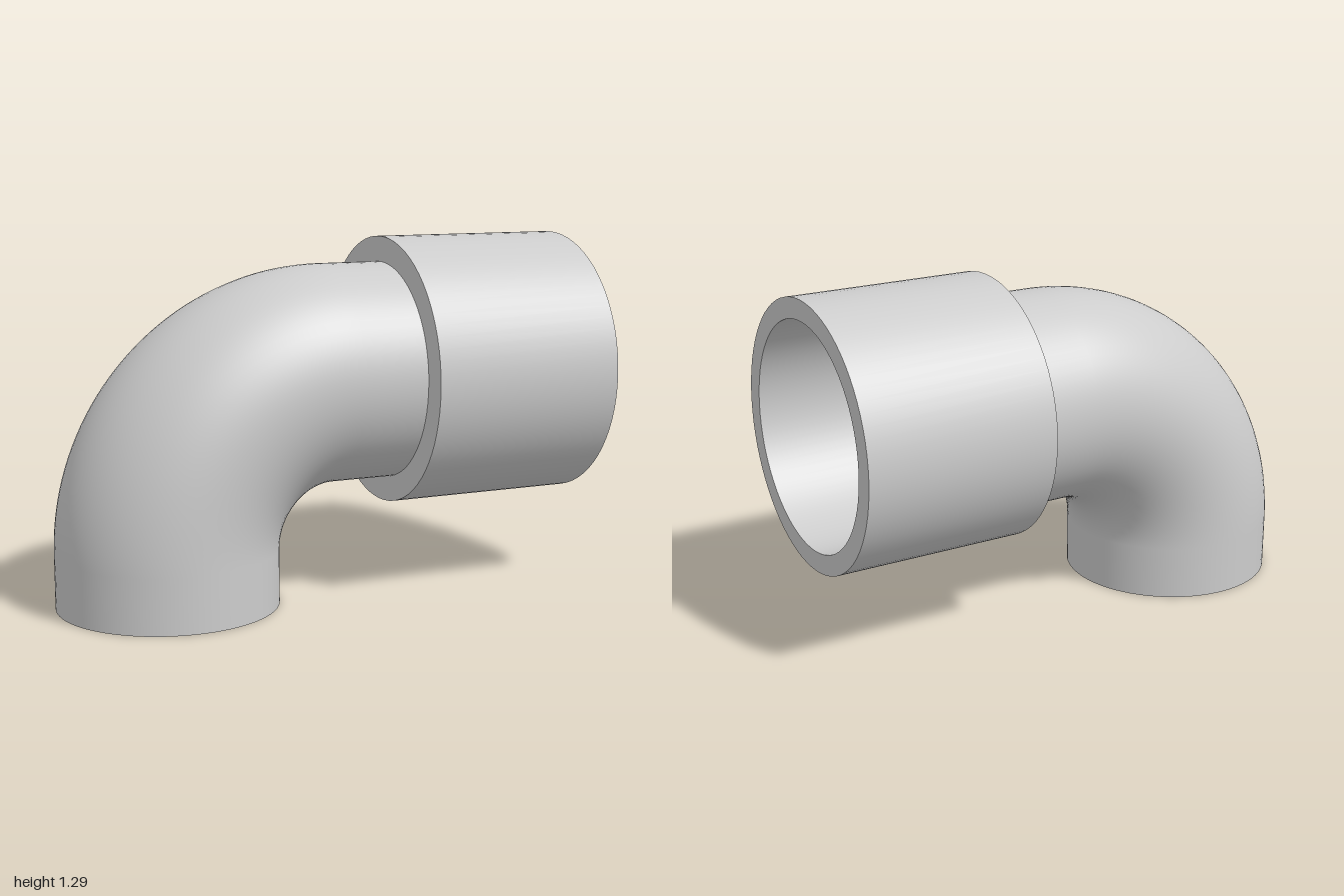
import * as THREE from 'three';
import { mergeGeometries } from 'three/addons/utils/BufferGeometryUtils.js';

const SIDES = 72;
const OUTER = 0.4, BORE = 0.322;          // pipe radii
const BEND = 0.6, BEND_Y = 0.2;           // bend radius, height where it starts
const SOCKET_OUTER = 0.493, SOCKET_BORE = 0.417;
const NECK_END = 0.838, STEP = 0.907, MOUTH = 1.562; // distances along the arm

// Revolves each [radius, height] edge separately so corners stay sharp
function revolve(profile) {
  const edges = [];
  for (let i = 0; i < profile.length - 1; i++) {
    const pair = [profile[i], profile[i + 1]].map(([r, h]) => new THREE.Vector2(r, h));
    edges.push(new THREE.LatheGeometry(pair, SIDES));
  }
  return mergeGeometries(edges);
}

// Turns a geometry inside out, for bores
function invert(geometry) {
  const index = geometry.index.array;
  for (let i = 0; i < index.length; i += 3) {
    [index[i], index[i + 1]] = [index[i + 1], index[i]];
  }
  const n = geometry.attributes.normal.array;
  for (let i = 0; i < n.length; i++) n[i] = -n[i];
  return geometry;
}

// Quarter turn from the upright leg to the horizontal arm
function quarterBend(radius) {
  return new THREE.TorusGeometry(BEND, radius, SIDES, 40, Math.PI / 2)
    .rotateZ(Math.PI / 2)
    .translate(BEND, BEND_Y, 0);
}

export function createModel() {
  const model = new THREE.Group();
  model.name = 'pipeElbow';
  const grey = new THREE.MeshStandardMaterial({ color: 0xcccccc });
  grey.name = 'grey';

  const add = (name, geometry) => {
    const mesh = new THREE.Mesh(geometry, grey);
    mesh.name = name;
    model.add(mesh);
    return mesh;
  };

  // Upright leg with its open bottom rim
  add('lowerLeg', revolve([[BORE, BEND_Y], [BORE, 0], [OUTER, 0], [OUTER, BEND_Y]]));

  // Bend, outside and inside
  add('bendOuter', quarterBend(OUTER));
  add('bendBore', invert(quarterBend(BORE)));

  // Straight neck and socket, laid along the arm
  const alongArm = (g) => g.rotateZ(-Math.PI / 2).translate(0, BEND_Y + BEND, 0);
  add('neckOuter', alongArm(revolve([[OUTER, BEND], [OUTER, NECK_END]])));
  add('neckBore', alongArm(revolve([[BORE, STEP], [BORE, BEND]])));
  add('socket', alongArm(revolve([
    [OUTER, NECK_END], [SOCKET_OUTER, NECK_END], [SOCKET_OUTER, MOUTH],
    [SOCKET_BORE, MOUTH], [SOCKET_BORE, STEP], [BORE, STEP],
  ])));

  // The arm points to the left and back
  model.rotation.y = Math.PI / 6;
  model.position.set(-0.6, 0, 0.403);
  return model;
}
